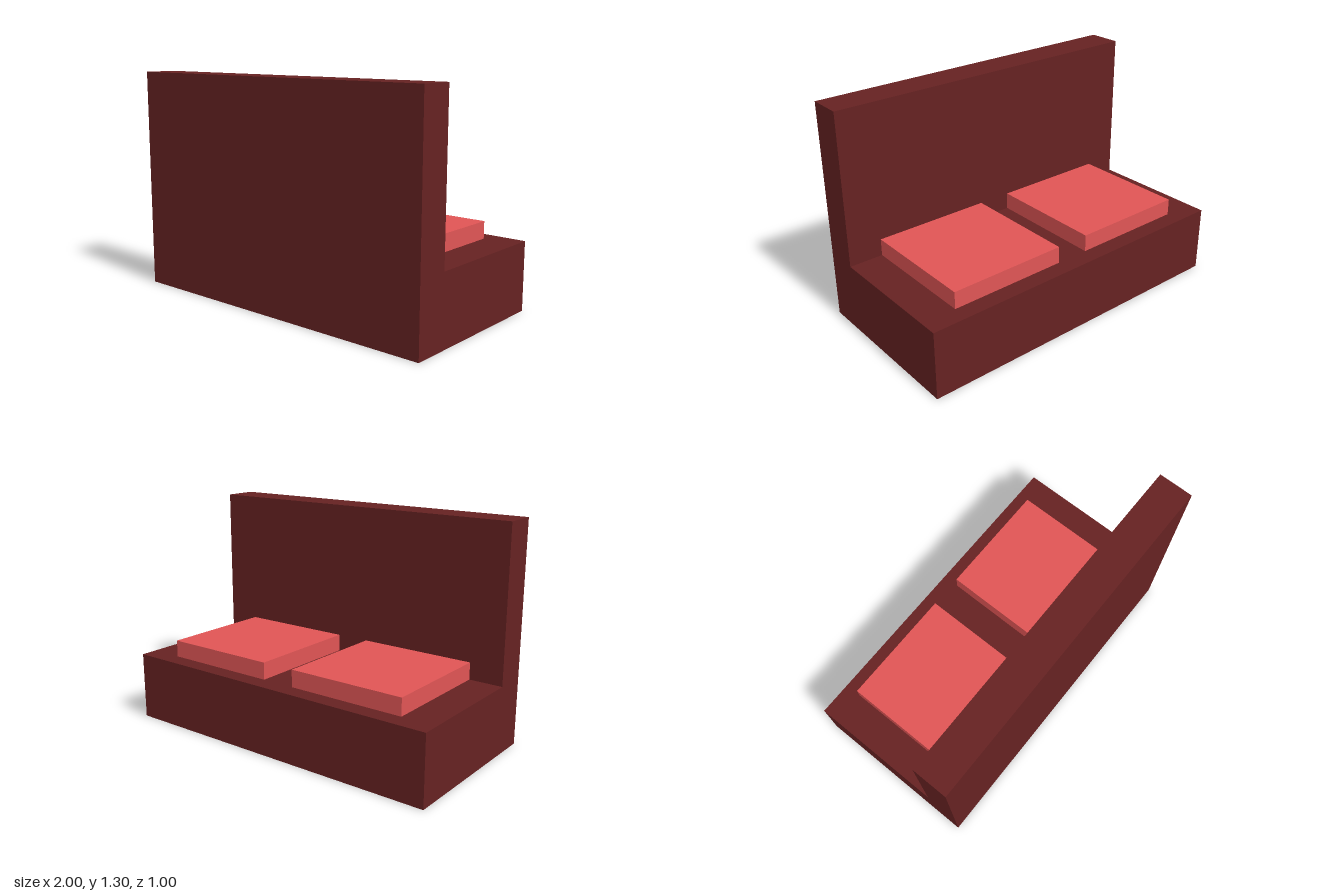
import * as THREE from 'three';

export function createModel() {
  const model = new THREE.Group();
  model.name = 'sofa';
  const frameMaterial = new THREE.MeshStandardMaterial({ color: 0x662222 });
  const cushionMaterial = new THREE.MeshStandardMaterial({ color: 0xe05555 });

  // Frame: L-shaped side profile (z, y) holding base and backrest, swept along x
  const profile = new THREE.Shape(
    [[-0.5, 0], [0.5, 0], [0.5, 1.3], [0.3, 1.3], [0.3, 0.4], [-0.5, 0.4]]
      .map(([z, y]) => new THREE.Vector2(z, y))
  );
  const frameGeometry = new THREE.ExtrudeGeometry(profile, { depth: 2, bevelEnabled: false });
  frameGeometry.translate(0, 0, -1).rotateY(-Math.PI / 2);
  const frame = new THREE.Mesh(frameGeometry, frameMaterial);
  frame.name = 'frame';
  model.add(frame);

  // Two seat cushions resting on the base against the backrest
  const cushionGeometry = new THREE.BoxGeometry(0.7, 0.1, 0.7);
  for (const side of [1, -1]) {
    const cushion = new THREE.Mesh(cushionGeometry, cushionMaterial);
    cushion.name = side > 0 ? 'leftCushion' : 'rightCushion';
    cushion.position.set(side * 0.45, 0.45, -0.05);
    model.add(cushion);
  }

  return model;
}
